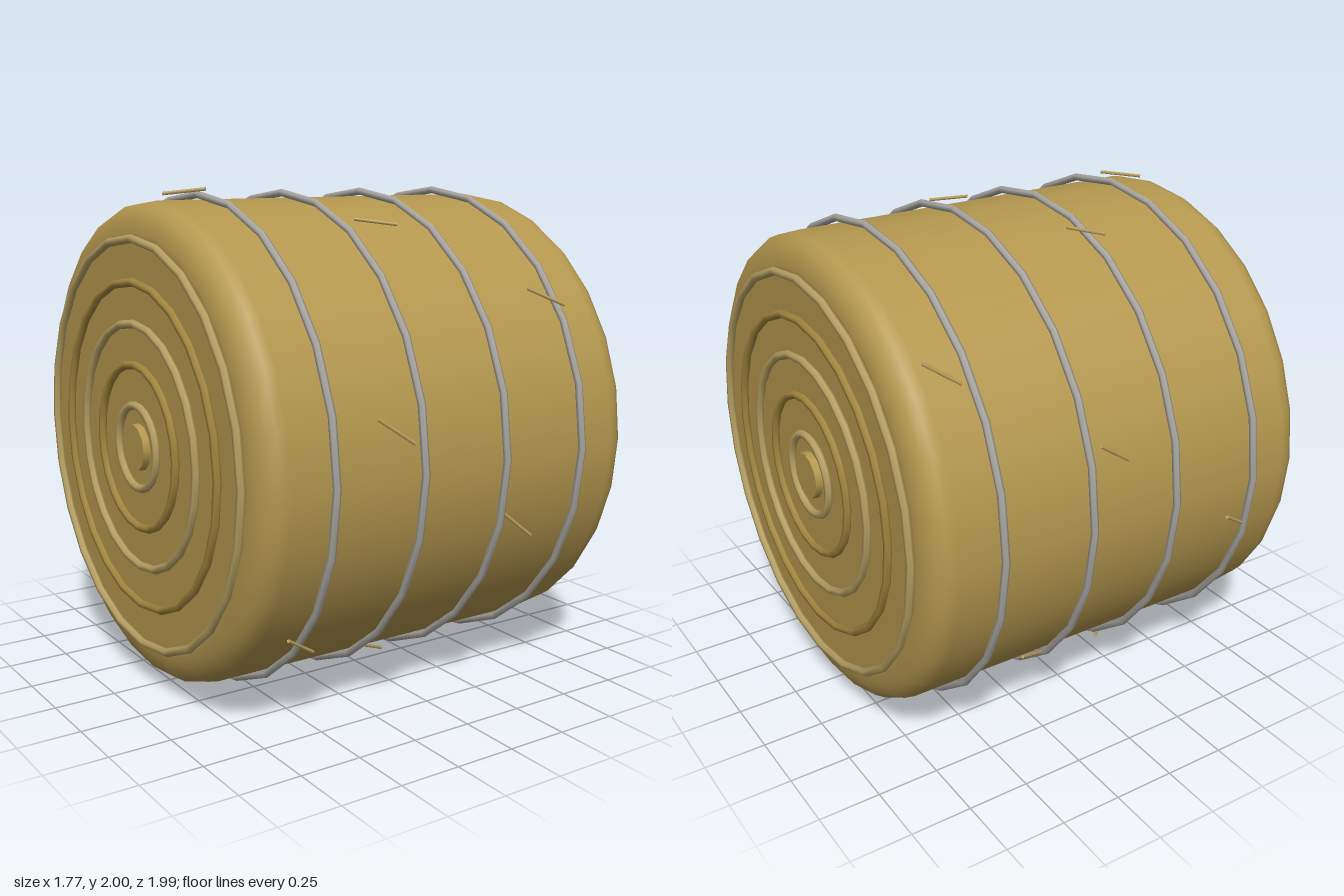
import * as THREE from 'three';

const mat = (name, color, side = THREE.FrontSide) => {
  const m = new THREE.MeshStandardMaterial({ color, side });
  m.name = name;
  return m;
};

export function createModel() {
  const hay = mat('hay', 0xb5984f);
  const darkHay = mat('dark hay', 0xa4873f);
  const paleHay = mat('pale hay', 0xb8a163);
  const wire = mat('grey twine', 0xaba8a2);
  const straw = mat('straw', 0xbfa35f);

  const model = new THREE.Group();
  model.name = 'hayBale';
  const bale = new THREE.Group();
  bale.name = 'bale';
  bale.position.y = 1;
  model.add(bale);

  const add = (name, geometry, material, x = 0) => {
    const mesh = new THREE.Mesh(geometry, material);
    mesh.name = name;
    mesh.position.x = x;
    bale.add(mesh);
    return mesh;
  };

  // Rolled body: rounded drum lying along x
  const edge = [[0.83, 0.855], [0.875, 0.85], [0.92, 0.825], [0.943, 0.79], [0.95, 0.75]];
  const profile = [
    ...edge.map(([r, h]) => new THREE.Vector2(r, -h)),
    ...edge.slice().reverse().map(([r, h]) => new THREE.Vector2(r, h)),
  ];
  add('body', new THREE.LatheGeometry(profile, 28).rotateZ(-Math.PI / 2), hay);

  // Flat ends with the coiled layers and a small core
  for (const side of [-1, 1]) {
    const label = side > 0 ? 'left' : 'right';
    add(label + 'End', new THREE.CircleGeometry(0.83, 28).rotateY(side * Math.PI / 2), hay, side * 0.855);
    [0.165, 0.325, 0.485, 0.645, 0.81].forEach((r, i) => {
      const ring = new THREE.TorusGeometry(r, 0.017, 6, 24).rotateY(Math.PI / 2);
      add(label + 'Coil' + (i + 1), ring, i % 2 ? darkHay : paleHay, side * 0.866);
    });
    add(label + 'Core', new THREE.CylinderGeometry(0.095, 0.095, 0.04, 12).rotateZ(Math.PI / 2), hay, side * 0.865);
  }

  // Twine hoops
  [-0.58, -0.195, 0.19, 0.575].forEach((x, i) => {
    add('twine' + (i + 1), new THREE.TorusGeometry(0.97, 0.015, 6, 24).rotateY(Math.PI / 2), wire, x);
  });

  // Loose straws: start and end of each, spiralling round the bale
  const straws = [
    [[-0.73, 1.975, 0.0], [-0.59, 1.993, 0.09]],
    [[-0.13, 1.88, 0.42], [0, 1.86, 0.52]],
    [[0.46, 1.61, 0.755], [0.59, 1.545, 0.83]],
    [[-0.39, 1.22, 0.945], [-0.26, 1.125, 0.99]],
    [[0.2, 0.79, 0.94], [0.34, 0.68, 0.945]],
    [[-0.65, 0.4, 0.76], [-0.51, 0.31, 0.71]],
    [[-0.05, 0.13, 0.39], [0.08, 0.07, 0.33]],
    [[0.54, 0.035, -0.02], [0.68, 0.01, -0.11]],
    [[-0.31, 0.145, -0.42], [-0.17, 0.16, -0.53]],
    [[0.29, 0.4, -0.78], [0.42, 0.47, -0.85]],
    [[-0.56, 0.8, -0.95], [-0.44, 0.88, -0.99]],
    [[0.03, 1.24, -0.945], [0.16, 1.33, -0.95]],
    [[0.62, 1.61, -0.76], [0.75, 1.7, -0.72]],
    [[-0.23, 1.91, -0.42], [-0.1, 1.94, -0.35]],
  ];
  const up = new THREE.Vector3(0, 1, 0);
  straws.forEach(([a, b], i) => {
    const start = new THREE.Vector3(...a);
    const end = new THREE.Vector3(...b);
    const dir = end.clone().sub(start);
    const mesh = add('straw' + (i + 1), new THREE.CylinderGeometry(0.007, 0.007, dir.length(), 5), straw);
    mesh.position.copy(start).add(end).multiplyScalar(0.5);
    mesh.position.y -= 1;
    mesh.quaternion.setFromUnitVectors(up, dir.normalize());
  });

  return model;
}
